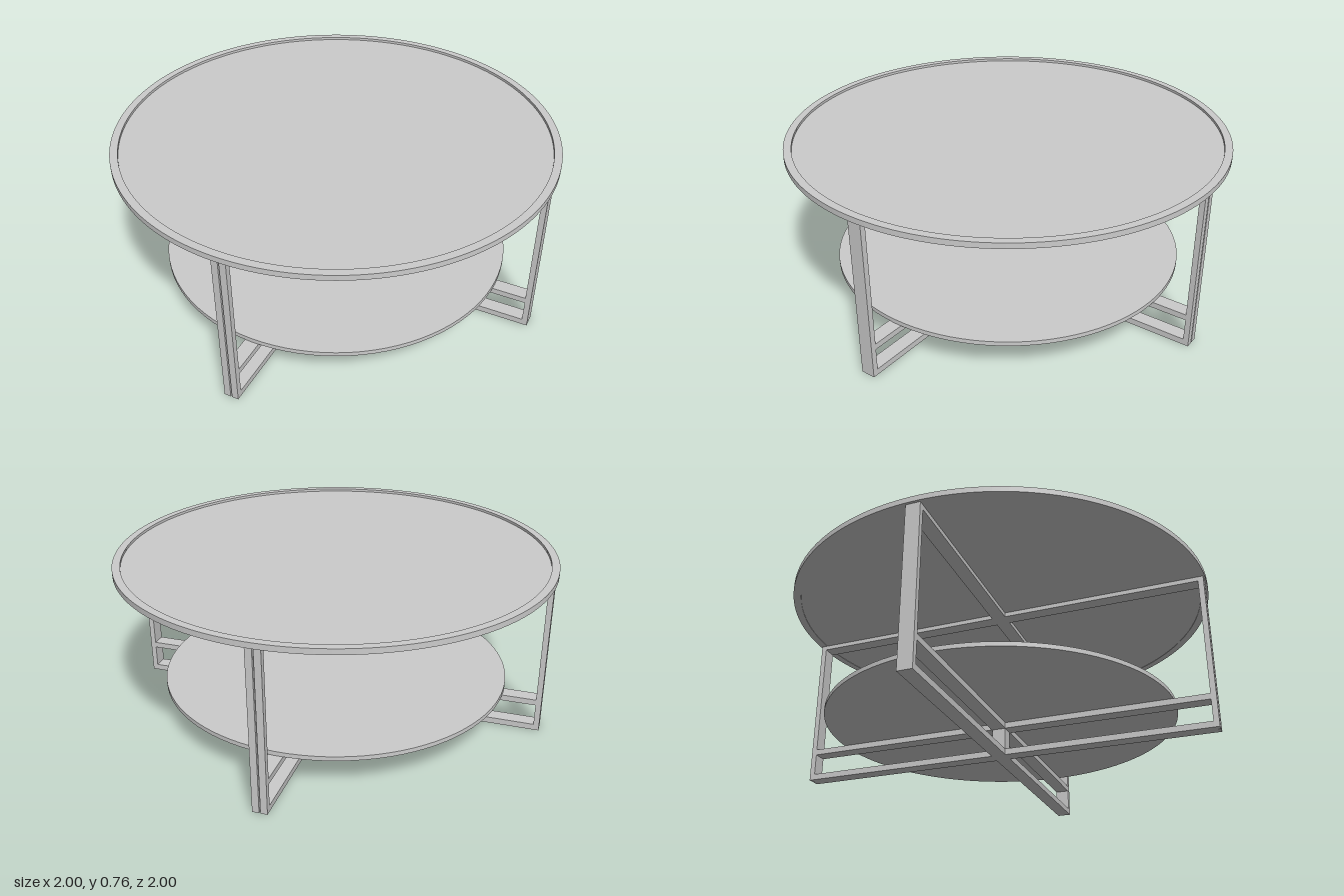
import * as THREE from 'three';

const H = 0.735;   // height of the leg frames
const W = 0.066;   // width of the flat bars
const T = 0.025;   // thickness of the legs

export function createModel() {
  const table = new THREE.Group();
  table.name = 'roundCoffeeTable';
  const grey = new THREE.MeshStandardMaterial({ color: 0xcccccc });

  const add = (parent, name, geometry, x = 0, y = 0, z = 0) => {
    const mesh = new THREE.Mesh(geometry, grey);
    mesh.name = name;
    mesh.position.set(x, y, z);
    parent.add(mesh);
    return mesh;
  };

  // Raised rim: a flat ring extruded upwards
  const ring = new THREE.Shape().absarc(0, 0, 1, 0, Math.PI * 2, false);
  ring.holes.push(new THREE.Path().absarc(0, 0, 0.965, 0, Math.PI * 2, true));
  const rim = new THREE.ExtrudeGeometry(ring, { depth: 0.025, bevelEnabled: false, curveSegments: 96 });
  rim.rotateX(-Math.PI / 2);
  add(table, 'topRim', rim, 0, H, 0);

  // Sunken table top and lower shelf
  add(table, 'tableTop', new THREE.CylinderGeometry(0.965, 0.965, 0.011, 96), 0, 0.7425, 0);
  add(table, 'shelf', new THREE.CylinderGeometry(0.81, 0.81, 0.02, 96), 0, 0.166, 0);

  // Leg cross-section, with an optional narrow groove down its outer face
  const legGeometry = (grooved) => {
    const w = W / 2, g = 0.003, d = 0.012;
    const points = [[-w, 0], [w, 0], [w, T]];
    if (grooved) points.push([g, T], [g, T - d], [-g, T - d], [-g, T]);
    points.push([-w, T]);
    const shape = new THREE.Shape(points.map(([x, y]) => new THREE.Vector2(x, y)));
    const geometry = new THREE.ExtrudeGeometry(shape, { depth: H, bevelEnabled: false });
    // Stand upright with the outer face towards +z
    return geometry.rotateX(-Math.PI / 2).rotateY(Math.PI);
  };

  // A closed frame with two legs and three cross bars, lying in the yz plane
  const makeFrame = (name, reach, grooved) => {
    const frame = new THREE.Group();
    frame.name = name;
    for (const side of [0, 1]) {
      const holder = new THREE.Group();
      holder.name = side ? 'backLeg' : 'frontLeg';
      holder.rotation.y = side * Math.PI;
      add(holder, 'leg', legGeometry(grooved), 0, 0, reach - T);
      frame.add(holder);
    }
    for (const [bar, bottom, top] of [['footBar', 0, 0.028], ['shelfBar', 0.129, 0.156], ['topBar', 0.714, H]]) {
      add(frame, bar, new THREE.BoxGeometry(W, top - bottom, 2 * (reach - T)), 0, (bottom + top) / 2, 0);
    }
    table.add(frame);
    return frame;
  };
  makeFrame('lengthwiseFrame', 0.992, true);
  makeFrame('crosswiseFrame', 0.988, false).rotation.y = Math.PI / 2;

  // Short post where the lower bars cross
  add(table, 'centrePost', new THREE.BoxGeometry(W - 0.004, 0.101, W - 0.004), 0, 0.0785, 0);

  return table;
}
